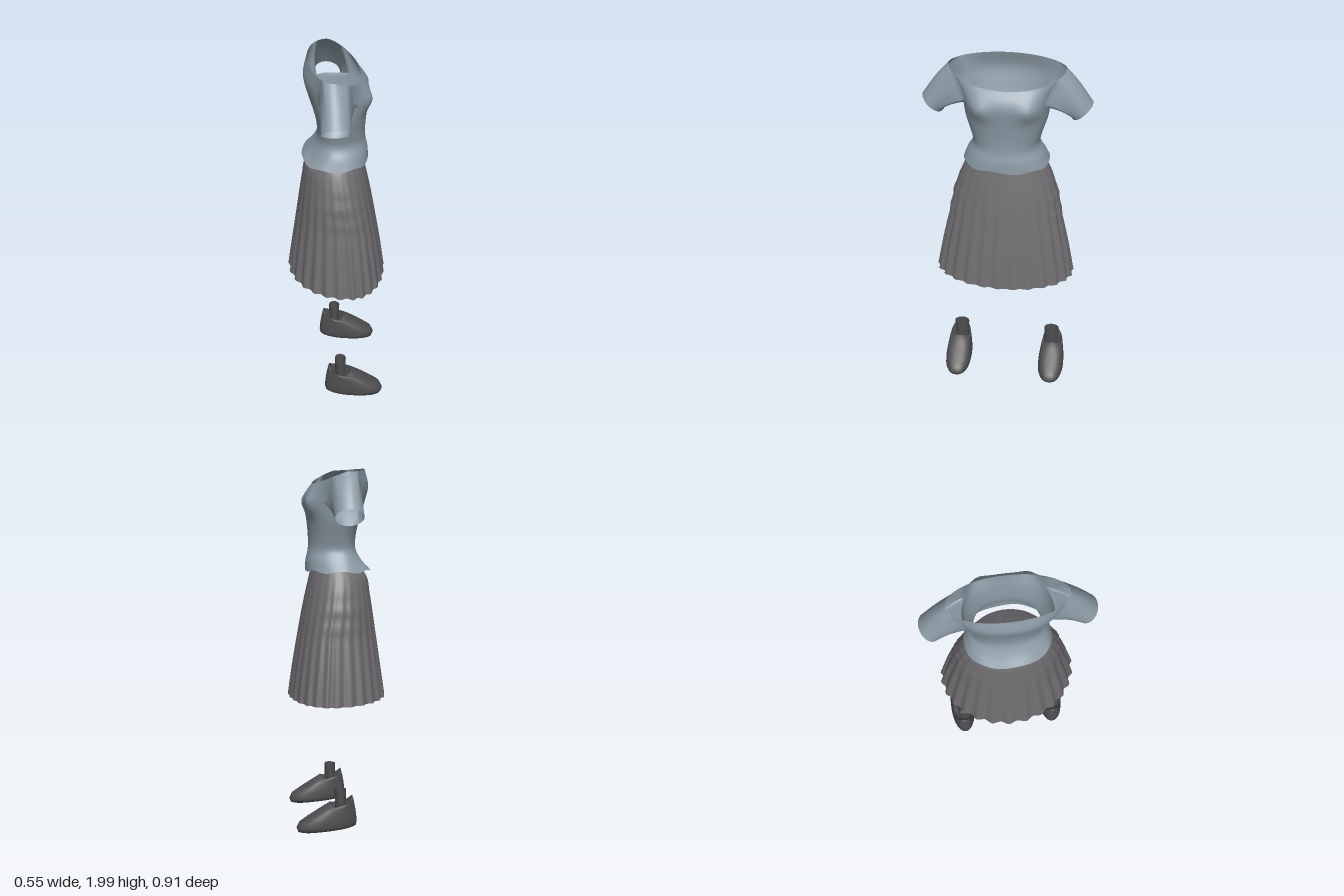
import * as THREE from 'three';
import { mergeVertices } from 'three/addons/utils/BufferGeometryUtils.js';

const mat = (name, color) => {
  const m = new THREE.MeshStandardMaterial({ color, side: THREE.DoubleSide });
  m.name = name;
  return m;
};

// Sew rows of points into triangles; rows are closed loops, skip() leaves openings
function sew(rows, out = [], skip = () => false) {
  for (let j = 0; j < rows.length - 1; j++) {
    const n = rows[j].length;
    for (let k = 0; k < n; k++) {
      if (skip(k, j)) continue;
      const a = rows[j][k], b = rows[j][(k + 1) % n];
      const d = rows[j + 1][k], c = rows[j + 1][(k + 1) % n];
      out.push(a, d, c, a, c, b);
    }
  }
  return out;
}

function toMesh(name, points, material) {
  let g = new THREE.BufferGeometry().setFromPoints(points);
  g = mergeVertices(g, 1e-5);
  g.computeVertexNormals();
  const mesh = new THREE.Mesh(g, material);
  mesh.name = name;
  return mesh;
}

const spow = (v, e) => Math.sign(v) * Math.abs(v) ** e;
const bump = (d, w) => Math.exp(-(d * d) / (w * w));

// Smoothly sample a table of [y, back x, front x, half width, side x]
function sampleTable(table, count) {
  const curve = (f) => new THREE.CatmullRomCurve3(table.map(f), false, 'catmullrom');
  const size = curve((r) => new THREE.Vector3(r[1], r[2], r[3]));
  const place = curve((r) => new THREE.Vector3(r[4], r[0], 0));
  return Array.from({ length: count + 1 }, (_, i) => {
    const s = size.getPoint(i / count), p = place.getPoint(i / count);
    return { t: i / count, y: p.y, back: s.x, front: s.y, half: s.z, cx: p.x };
  });
}

function ringPoint(r, a, e = 1, scale = 1) {
  const c = Math.cos(a);
  const reach = c > 0 ? r.front - r.cx : r.cx - r.back;
  return new THREE.Vector3(
    r.cx + spow(c, e) * reach * scale, r.y, spow(Math.sin(a), e) * r.half * scale);
}

// Bodice with open neckline, flared hem and short sleeves
function makeBodice(material) {
  const N = 64, CHEST = 1.82;
  const table = [
    [1.445, -0.19, 0.172, 0.235, -0.01],
    [1.50, -0.14, 0.168, 0.212, -0.01],
    [1.56, -0.108, 0.156, 0.182, -0.01],
    [1.63, -0.107, 0.155, 0.195, -0.01],
    [1.72, -0.125, 0.163, 0.222, -0.02],
    [CHEST, -0.155, 0.176, 0.237, -0.03],
    [1.91, -0.176, 0.164, 0.265, -0.03],
    [2.0, -0.155, 0.13, 0.31, -0.03],
  ];
  const STEP = 5, armRow = 5 * STEP;
  const rings = sampleTable(table, STEP * (table.length - 1));
  const last = rings.length - 1;
  const rows = rings.map((r, j) => Array.from({ length: N }, (_, k) => {
    const a = (k / N) * Math.PI * 2, c = Math.cos(a);
    const up = Math.max(0, (j - armRow) / (last - armRow));
    const p = ringPoint(r, a, 0.88 + 0.12 * up);
    // neckline dips at the front
    const neck = c > 0 ? 1.988 - 0.068 * c ** 1.2 : 1.988 + 0.012 * c * c;
    if (r.y > CHEST) p.y = CHEST + ((r.y - CHEST) / (2 - CHEST)) * (neck - CHEST);
    // bust
    if (c > 0) p.x += 0.03 * bump(Math.abs(p.z) - 0.14, 0.06) * bump(p.y - 1.815, 0.06);
    // rippled hem
    if (j < STEP) p.y += 0.006 * Math.sin(a * 7) * (1 - j / STEP);
    return p;
  }));

  const W = 5, sides = [N / 4, (3 * N) / 4];
  const points = sew(rows, [], (k, j) =>
    j >= armRow && sides.some((s) => k >= s - W && k < s + W));

  // Sleeves grow from the edges of the armholes
  for (const mid of sides) {
    const side = mid === N / 4 ? 1 : -1, loop = [];
    for (let k = mid + W; k > mid - W; k--) loop.push(rows[last][k]);
    for (let j = last; j > armRow; j--) loop.push(rows[j][mid - W]);
    for (let k = mid - W; k < mid + W; k++) loop.push(rows[armRow][k]);
    for (let j = armRow; j < last; j++) loop.push(rows[j][mid + W]);
    const cuff = loop.map((p) => {
      const f = Math.atan2(p.y - 1.9, p.x + 0.02);
      return new THREE.Vector3(-0.029 + 0.078 * Math.cos(f),
        1.75 + 0.046 * Math.sin(f), side * (0.402 + 0.053 * Math.sin(f)));
    });
    const sleeve = [];
    for (let i = 0; i <= 8; i++) {
      const t = i / 8;
      sleeve.push(loop.map((p, n) => {
        const q = p.clone().lerp(cuff[n], t);
        q.y += 0.012 * Math.sin(Math.PI * t);
        return q;
      }));
    }
    sew(sleeve, points);
  }
  return toMesh('bodice', points, material);
}

// Long skirt whose pleats deepen toward the hem
function makeSkirt(material) {
  const N = 208;
  const rings = sampleTable([
    [0.73, -0.27, 0.268, 0.383, 0.06],
    [0.91, -0.246, 0.243, 0.352, 0.05],
    [1.09, -0.221, 0.213, 0.315, 0.04],
    [1.21, -0.205, 0.192, 0.295, 0.02],
    [1.31, -0.19, 0.172, 0.268, 0.01],
    [1.40, -0.175, 0.152, 0.232, 0],
    [1.465, -0.13, 0.138, 0.195, 0],
  ], 30);
  const rows = rings.map((r) => Array.from({ length: N }, (_, k) => {
    const a = (k / N) * Math.PI * 2;
    const pleat = 0.024 * (1 - r.t) ** 1.3 * Math.sin(a * 26 + 0.6 * Math.sin(a * 3));
    const crumple = 0.012 * bump(r.y - 1.2, 0.12) * Math.sin(a) ** 4 * Math.sin(r.y * 62);
    return ringPoint(r, a, 1, 1 + pleat + crumple);
  }));
  return toMesh('skirt', sew(rows), material);
}

// Slip-on shoe from tilted rings: [heel y, toe y, back x, front x, half width, side dip]
function makeShoe(material) {
  const N = 40;
  const rings = [
    [0.03, 0.02, 0.08, 0.08, 0, 0],
    [0.038, 0.01, -0.07, 0.225, 0.058, 0],
    [0.045, 0.015, -0.082, 0.243, 0.071, 0],
    [0.065, 0.033, -0.086, 0.25, 0.075, 0],
    [0.10, 0.062, -0.083, 0.236, 0.074, 0],
    [0.135, 0.088, -0.078, 0.198, 0.07, 0],
    [0.17, 0.12, -0.071, 0.145, 0.064, 0],
    [0.195, 0.15, -0.066, 0.10, 0.059, 0.01],
    [0.21, 0.175, -0.062, 0.065, 0.054, 0.035],
    [0.205, 0.17, -0.055, 0.058, 0.047, 0.035],
    [0.15, 0.14, -0.045, 0.05, 0.042, 0.02],
    [0.13, 0.13, 0, 0, 0, 0],
  ];
  const rows = rings.map(([heel, toe, back, front, half, dip]) =>
    Array.from({ length: N }, (_, k) => {
      const a = (k / N) * Math.PI * 2, c = Math.cos(a), s = Math.sin(a);
      return new THREE.Vector3(
        (back + front) / 2 + (spow(c, 0.88) * (front - back)) / 2,
        heel + (toe - heel) * (c + 1) / 2 - dip * s * s,
        spow(s, 0.88) * half * (1 + 0.1 * c));
    }));
  return toMesh('shoe', sew(rows), material);
}

export function createModel() {
  const model = new THREE.Group();
  model.name = 'outfit';
  const blue = mat('blue grey cloth', 0x8c9ba6);
  const grey = mat('warm grey cloth', 0x706d70);
  const dark = mat('dark grey leather', 0x4e4e50);

  model.add(makeBodice(blue), makeSkirt(grey));

  for (const side of [1, -1]) {
    const foot = new THREE.Group();
    foot.name = side > 0 ? 'leftFoot' : 'rightFoot';
    const sock = new THREE.Mesh(
      new THREE.CylinderGeometry(1, 0.9, 0.115, 24, 3, true), dark);
    sock.name = 'sock';
    sock.scale.set(0.032, 1, 0.043);
    sock.position.set(0.005, 0.1875, -0.008 * side);
    foot.add(makeShoe(dark), sock);
    foot.position.z = 0.281 * side;
    model.add(foot);
  }
  return model;
}
